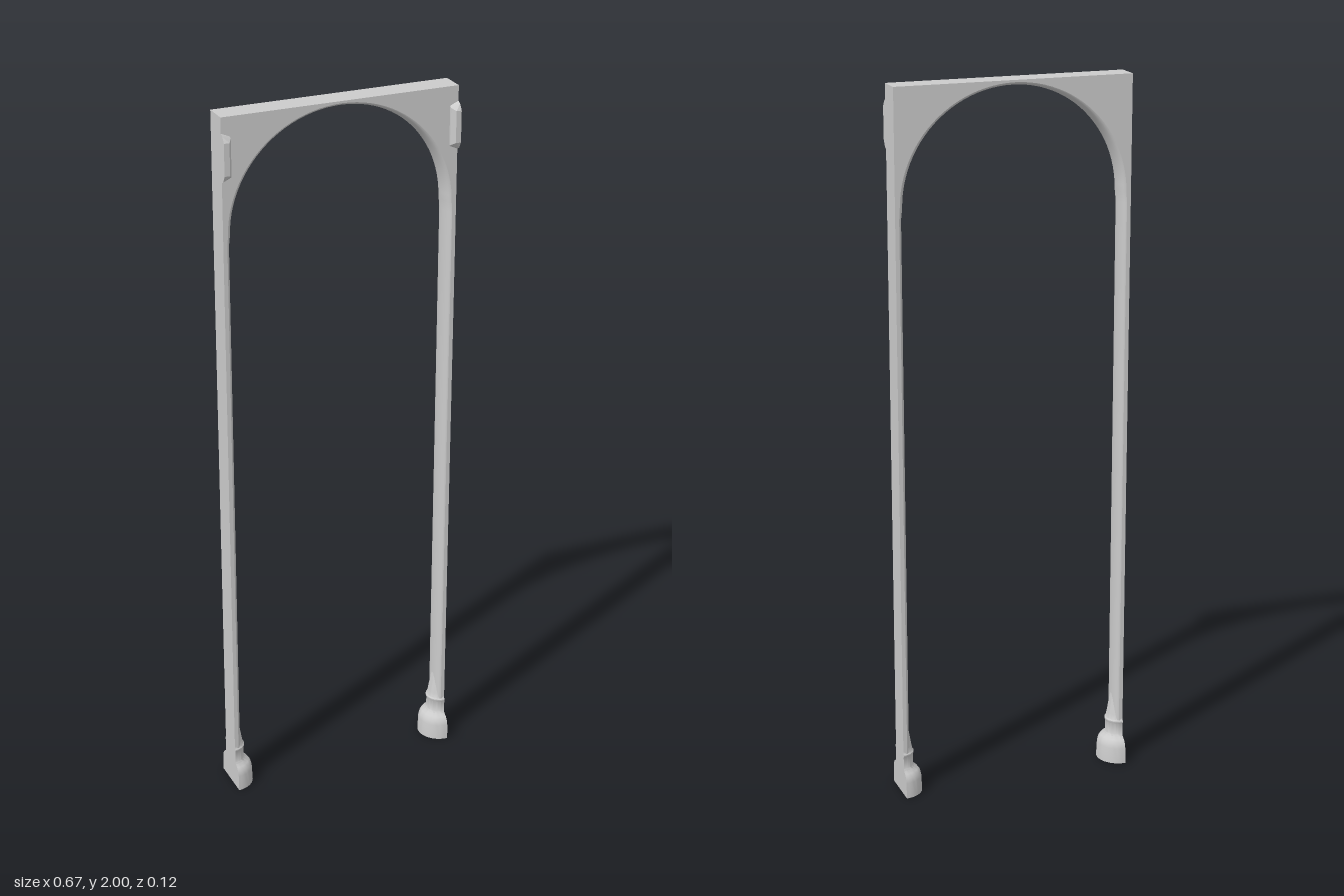
import * as THREE from 'three';
import { toCreasedNormals } from 'three/addons/utils/BufferGeometryUtils.js';
import { ConvexGeometry } from 'three/addons/geometries/ConvexGeometry.js';

const W = 0.333, D = 0.035, SPRING = 1.68;
const material = new THREE.MeshStandardMaterial({ color: 0xcccccc, side: THREE.DoubleSide });

function add(parent, geometry, name) {
  const mesh = new THREE.Mesh(geometry, material);
  mesh.name = name;
  parent.add(mesh);
  return mesh;
}

// Opening outline from the right foot, over the arch, to the left foot
function opening(legX, archX, top) {
  const pts = [[legX, 0.02], [legX, SPRING - 0.03]];
  for (let i = 0; i <= 48; i++) {
    const a = Math.PI * i / 48;
    pts.push([archX * Math.cos(a), SPRING + (top - SPRING) * Math.sin(a)]);
  }
  pts.push([-legX, SPRING - 0.03], [-legX, 0.02]);
  return pts.map(p => new THREE.Vector2(...p));
}

// Half-round moulding bridging the outer and inner opening outlines
function mouldingGeometry(outer, inner) {
  const n = 12, pos = [], index = [];
  outer.forEach((o, i) => {
    for (let j = 0; j <= n; j++) {
      const a = Math.PI * j / n;
      const p = o.clone().lerp(inner[i], Math.sin(a));
      pos.push(p.x, p.y, D * Math.cos(a));
      if (i && j) {
        const d = i * (n + 1) + j, b = d - n - 1;
        index.push(b - 1, b, d - 1, b, d, d - 1);
      }
    }
  });
  const g = new THREE.BufferGeometry();
  g.setAttribute('position', new THREE.Float32BufferAttribute(pos, 3));
  g.setIndex(index);
  g.computeVertexNormals();
  return g;
}

export function createModel() {
  const model = new THREE.Group();
  model.name = 'archway';

  // Flat frame: outer strips and spandrels
  const outer = opening(0.322, 0.32, 1.994);
  const inner = opening(0.310, 0.306, 1.984);
  const outline = new THREE.Shape([
    new THREE.Vector2(-W, 0.02), new THREE.Vector2(-W, 2),
    new THREE.Vector2(W, 2), new THREE.Vector2(W, 0.02), ...outer,
  ]);
  const frame = new THREE.ExtrudeGeometry(outline, { depth: 2 * D, bevelEnabled: false });
  frame.translate(0, 0, -D);
  add(model, toCreasedNormals(frame, 0.5), 'archFrame');
  add(model, mouldingGeometry(outer, inner), 'columnAndArchMoulding');

  // Half-round turned bases with a flat outer side
  const profile = [
    [0, 0], [0.062, 0], [0.06, 0.045], [0.057, 0.058], [0.05, 0.068], [0.04, 0.075],
    [0.037, 0.08], [0.037, 0.115], [0.039, 0.118], [0.039, 0.122], [0.036, 0.125],
    [0.033, 0.14], [0.028, 0.17], [0.023, 0.2], [0, 0.2],
  ].map(p => new THREE.Vector2(...p));
  const half = toCreasedNormals(new THREE.LatheGeometry(profile, 24, Math.PI, Math.PI), 0.6);
  const side = new THREE.ShapeGeometry(new THREE.Shape([
    ...profile, ...profile.slice(1, -1).reverse().map(p => new THREE.Vector2(-p.x, p.y)),
  ]));
  side.rotateY(Math.PI / 2);

  for (const s of [1, -1]) {
    const base = new THREE.Group();
    base.name = s > 0 ? 'leftBase' : 'rightBase';
    base.position.x = s * W;
    base.rotation.y = s > 0 ? 0 : Math.PI;
    add(base, half, 'turnedBase');
    add(base, side, 'baseFlatSide');
    model.add(base);

    // Bevelled block on the front of each upper corner
    const pts = [];
    for (const [x, z, low, high] of [
      [W, 0.03, 1.825, 1.96], [0.309, 0.03, 1.835, 1.95],
      [W, 0.045, 1.832, 1.953], [0.309, 0.042, 1.842, 1.943],
      [W, 0.055, 1.85, 1.937], [0.318, 0.055, 1.85, 1.937],
    ]) for (const y of [low, high]) pts.push(new THREE.Vector3(s * x, y, z));
    add(model, new ConvexGeometry(pts), s > 0 ? 'leftCornerBlock' : 'rightCornerBlock');
  }
  return model;
}
